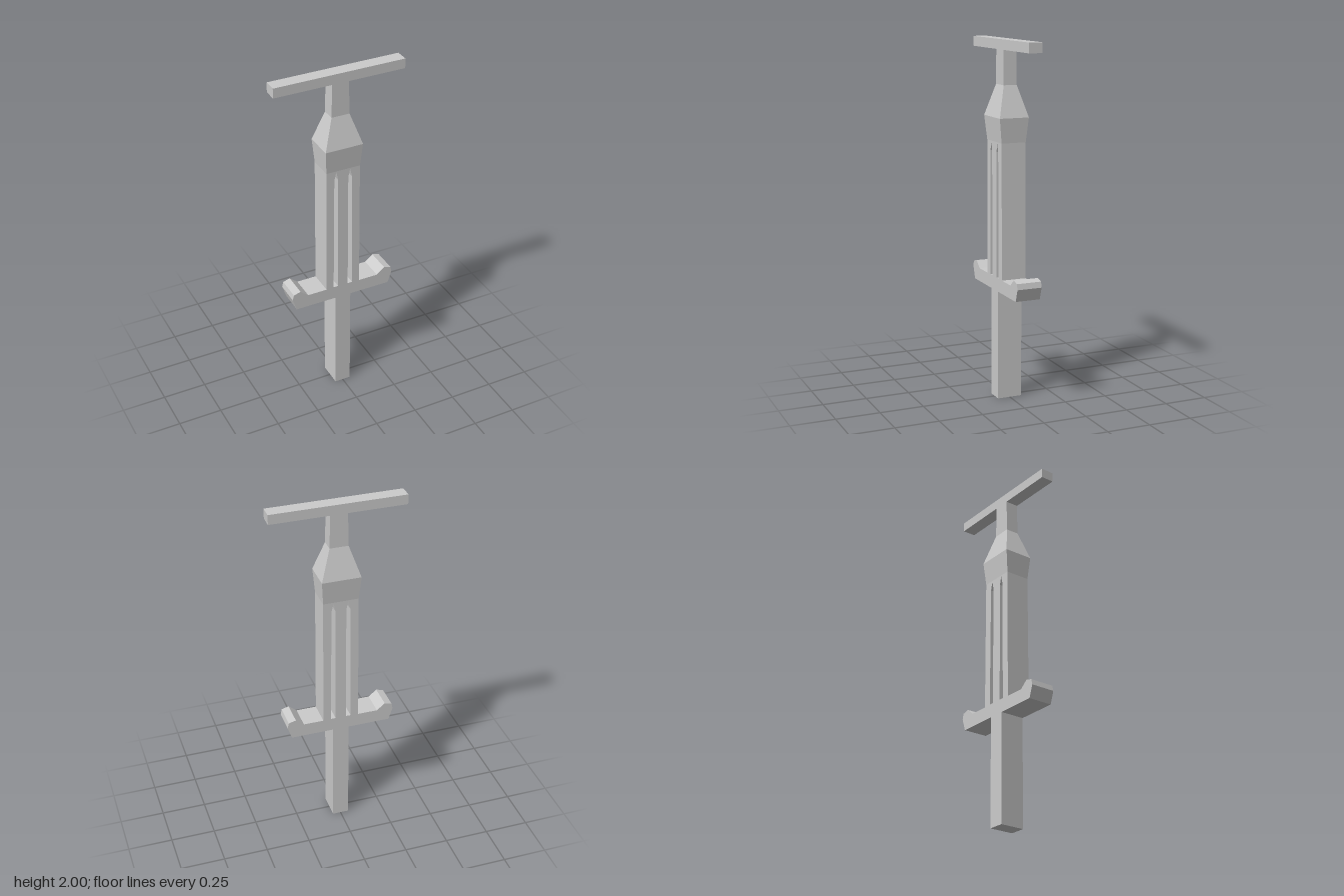
import * as THREE from 'three';

const material = new THREE.MeshStandardMaterial({ color: 0xcccccc, flatShading: true });
const DEPTH = 0.142;

function addMesh(group, name, geometry) {
  const mesh = new THREE.Mesh(geometry, material);
  mesh.name = name;
  group.add(mesh);
  return mesh;
}

function addBox(group, name, width, depth, y0, y1) {
  const mesh = addMesh(group, name, new THREE.BoxGeometry(width, y1 - y0, depth));
  mesh.position.y = (y0 + y1) / 2;
}

const toPoints = (list) => list.map(([x, y]) => new THREE.Vector2(x, y));

// Front outline extruded evenly about z = 0
function slab(shape) {
  const geometry = new THREE.ExtrudeGeometry(shape, { depth: DEPTH, bevelEnabled: false });
  return geometry.translate(0, 0, -DEPTH / 2);
}

// Rectangular sections [y, halfWidth, halfDepth] joined from bottom to top
function loftRectangles(sections) {
  const positions = [];
  const index = [];
  for (const [y, w, d] of sections) {
    positions.push(-w, y, d, w, y, d, w, y, -d, -w, y, -d);
  }
  for (let s = 0; s < sections.length - 1; s++) {
    for (let i = 0; i < 4; i++) {
      const a = s * 4 + i;
      const b = s * 4 + ((i + 1) % 4);
      index.push(a, b, b + 4, a, b + 4, a + 4);
    }
  }
  const t = (sections.length - 1) * 4;
  index.push(0, 2, 1, 0, 3, 2, t, t + 1, t + 2, t, t + 2, t + 3);
  const geometry = new THREE.BufferGeometry();
  geometry.setAttribute('position', new THREE.Float32BufferAttribute(positions, 3));
  geometry.setIndex(index);
  const flat = geometry.toNonIndexed();
  flat.computeVertexNormals();
  return flat;
}

export function createModel() {
  const group = new THREE.Group();

  // Lower post
  addBox(group, 'post', 0.094, DEPTH, 0, 0.62);

  // Foot rest with upturned ends
  const side = [[0.287, 0.62], [0.31, 0.69], [0.303, 0.722], [0.262, 0.733], [0.216, 0.695]];
  const mirrored = side.map(([x, y]) => [-x, y]).reverse();
  addMesh(group, 'footRest', slab(new THREE.Shape(toPoints([...side, ...mirrored]))));

  // Body pierced by two pointed slots
  const body = new THREE.Shape(toPoints([[-0.102, 0.695], [0.102, 0.695], [0.099, 1.45], [-0.099, 1.45]]));
  for (const s of [-1, 1]) {
    const slot = [[0.03, 0.697], [0.03, 1.395], [0.041, 1.445], [0.053, 1.395], [0.058, 0.697]];
    body.holes.push(new THREE.Path(toPoints(slot.map(([x, y]) => [s * x, y]))));
  }
  addMesh(group, 'slottedBody', slab(body));

  // Flared shoulder tapering into the neck
  addMesh(group, 'shoulderAndNeck', loftRectangles([
    [1.45, 0.099, 0.071],
    [1.585, 0.109, 0.085],
    [1.757, 0.052, 0.038],
    [1.945, 0.048, 0.038],
  ]));

  // Handlebar
  addBox(group, 'handlebar', 0.75, 0.076, 1.945, 2);

  return group;
}
